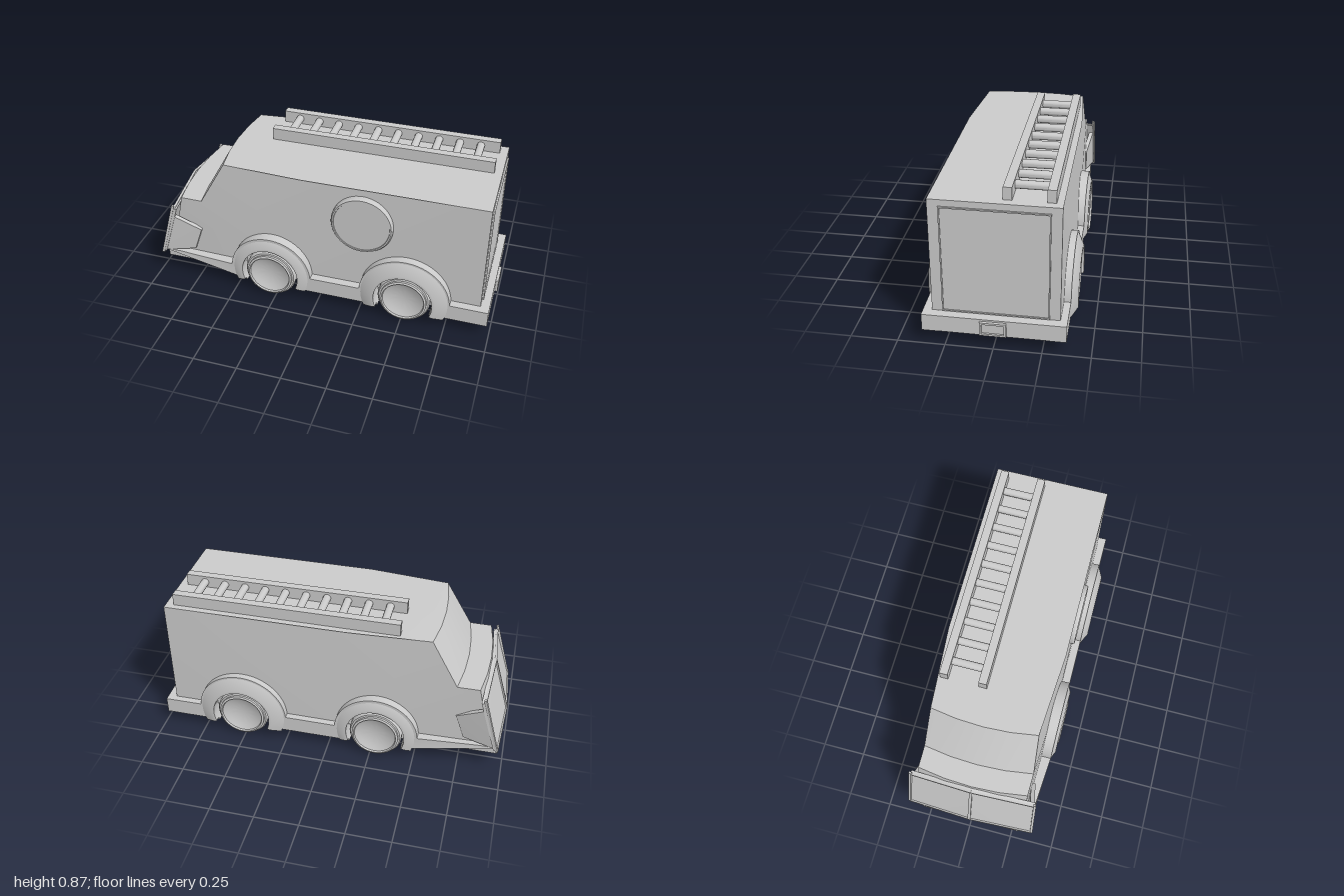
import * as THREE from 'three';
import { toCreasedNormals } from 'three/addons/utils/BufferGeometryUtils.js';
import { ConvexGeometry } from 'three/addons/geometries/ConvexGeometry.js';

const material = new THREE.MeshStandardMaterial({ color: 0xcccccc, side: THREE.DoubleSide });
const V = (x, y, z) => new THREE.Vector3(x, y, z);
const { lerp, smoothstep } = THREE.MathUtils;

function add(parent, name, geometry, x = 0, y = 0, z = 0) {
  const mesh = new THREE.Mesh(toCreasedNormals(geometry, 0.5), material);
  mesh.name = name;
  mesh.position.set(x, y, z);
  parent.add(mesh);
  return mesh;
}

// box given by its min and max on each axis
function box(parent, name, [x0, x1], [y0, y1], [z0, z1]) {
  return add(parent, name, new THREE.BoxGeometry(x1 - x0, y1 - y0, z1 - z0),
    (x0 + x1) / 2, (y0 + y1) / 2, (z0 + z1) / 2);
}

// moves every vertex of a geometry by a rule
function bend(geometry, rule) {
  const p = geometry.attributes.position;
  const v = new THREE.Vector3();
  for (let i = 0; i < p.count; i++) {
    rule(v.fromBufferAttribute(p, i));
    p.setXYZ(i, v.x, v.y, v.z);
  }
  return geometry;
}

// flat plate through corner points, given a thickness vector
const plate = (corners, thick) =>
  new ConvexGeometry([...corners, ...corners.map((c) => c.clone().add(thick))]);

// surface turned about the z axis, facing side s
function turned(profile, s, phi0 = 0, phi = Math.PI * 2, segments = 40) {
  const pts = profile.map(([r, z]) => new THREE.Vector2(r, z));
  return new THREE.LatheGeometry(pts, segments, phi0, phi).rotateX(s * Math.PI / 2);
}

const AXLE_Y = 0.15;
const axles = [
  { name: 'front', x: -0.28, arch: 0.24, flare: 0.225, lip: 0.39 },
  { name: 'rear', x: 0.51, arch: 0.26, flare: 0.25, lip: 0.405 },
];
const OPENING = 0.168;

// cab and cargo body: side profile extruded across, bowed and narrowed at the nose
function buildBody(parent) {
  const profile = [[0.935, 0.16], [0.935, 0.805], [-0.1, 0.803], [-0.56, 0.795],
    [-0.71, 0.53], [-0.835, 0.53], [-0.86, 0.42], [-0.92, 0.16], [-0.1, 0.16]];
  const shape = new THREE.Shape(profile.map(([x, y]) => new THREE.Vector2(x, y)));
  const geometry = new THREE.ExtrudeGeometry(shape, { depth: 2, steps: 4, bevelEnabled: false });
  geometry.translate(0, 0, -1);
  bend(geometry, (v) => {
    const t = v.z;
    const roofTaper = v.x < -0.5 && v.y > 0.7 ? 0.02 : 0;
    const half = lerp(0.33, 0.31, smoothstep(-v.x, 0.1, 0.85)) - roofTaper;
    v.z = t * half - 0.005;
    if (v.x < -0.5) v.x -= 0.03 * (1 - t * t);
  });
  geometry.computeVertexNormals();
  add(parent, 'body', geometry);
}

// side skirt with raised wheel arches and open wheel wells
function buildSkirt(parent, s) {
  const shape = new THREE.Shape();
  const bottom = 0.07, top = 0.165;
  const dip = Math.asin((AXLE_Y - bottom) / OPENING);
  shape.moveTo(-0.98, 0.09);
  for (const a of axles) shape.absarc(a.x, AXLE_Y, OPENING, Math.PI + dip, -dip, true);
  shape.lineTo(0.985, bottom);
  shape.lineTo(0.985, top);
  for (const a of [...axles].reverse()) {
    shape.absarc(a.x, AXLE_Y, a.arch, 0.06, Math.PI - 0.06, false);
  }
  shape.lineTo(-0.86, top);
  shape.lineTo(-0.97, top);
  const geometry = new THREE.ExtrudeGeometry(shape, { depth: 0.082, bevelEnabled: false, curveSegments: 28 });
  geometry.translate(0, 0, s > 0 ? 0.29 : -0.372);
  bend(geometry, (v) => {
    if (Math.abs(v.z) > 0.33 && v.x < -0.52) v.z -= s * 0.025 * Math.min(1, (-v.x - 0.52) / 0.34);
  });
  geometry.computeVertexNormals();
  add(parent, 'sideSkirt', geometry);
}

// sloped flare round the wheel opening
function buildFlare(parent, a, s) {
  const arc = Math.PI + 0.8;
  const profile = [[a.flare, 0.365], [a.flare, 0.372], [0.185, a.lip], [OPENING, a.lip], [OPENING, 0.3]];
  add(parent, a.name + 'Flare', turned(profile.map(([r, z]) => [r, z]), s,
    (s > 0 ? Math.PI : 0) - arc / 2, arc, 32), a.x, AXLE_Y, 0);
}

function buildWheel(parent, a, s) {
  const profile = [[0, 0.295], [0.13, 0.295], [0.15, 0.308], [0.15, 0.365], [0.143, 0.376],
    [0.133, 0.378], [0.133, 0.39], [0.122, 0.395], [0.118, 0.385], [0.09, 0.372], [0.05, 0.362], [0, 0.358]];
  add(parent, a.name + 'Wheel', turned(profile, s), a.x, AXLE_Y, 0);
}

// two-panel nose guard with a spine, edge bars and swept side flaps
function buildNoseGuard(parent) {
  const guard = new THREE.Group();
  guard.name = 'noseGuard';
  parent.add(guard);
  const thick = V(0.02, 0.006, 0);
  const bar = (name, a, b, r) => {
    const d = b.clone().sub(a);
    const m = add(guard, name, new THREE.BoxGeometry(r, d.length(), r));
    m.position.copy(a).add(b).multiplyScalar(0.5);
    m.quaternion.setFromUnitVectors(V(0, 1, 0), d.normalize());
  };
  const midTop = V(-0.89, 0.51, 0), midLow = V(-0.985, 0.18, 0);
  bar('guardSpine', midTop, midLow, 0.016);
  for (const s of [1, -1]) {
    const top = V(-0.87, 0.47, s * 0.355), low = V(-0.965, 0.155, s * 0.365);
    add(guard, 'guardPanel', plate([midTop, top, low, midLow], thick));
    bar('guardTopBar', midTop, top, 0.014);
    bar('guardLowBar', midLow, low, 0.014);
    bar('guardEdgeBar', V(top.x, top.y + 0.03, top.z), low, 0.014);
    const flap = [V(-0.87, 0.42, s * 0.355), V(-0.72, 0.335, s * 0.325),
      V(-0.77, 0.19, s * 0.325), V(-0.955, 0.165, s * 0.36)];
    add(guard, 'guardFlap', plate(flap, V(0, 0, -s * 0.025)));
  }
}

function buildLadder(parent) {
  const ladder = new THREE.Group();
  ladder.name = 'roofLadder';
  parent.add(ladder);
  for (const z of [-0.085, -0.3]) box(ladder, 'ladderRail', [-0.385, 0.89], [0.803, 0.873], [z, z + 0.045]);
  for (let i = 0; i < 10; i++) {
    const rung = new THREE.CylinderGeometry(0.022, 0.022, 0.18, 14).rotateX(Math.PI / 2);
    add(ladder, 'ladderRung', rung, -0.29 + i * 0.119, 0.838, -0.17);
  }
}

// rectangular rim facing the rear
function rearFrame(parent, name, x, depth, y0, y1, z0, z1, w) {
  box(parent, name, [x, x + depth], [y0, y0 + w], [z0, z1]);
  box(parent, name, [x, x + depth], [y1 - w, y1], [z0, z1]);
  box(parent, name, [x, x + depth], [y0 + w, y1 - w], [z0, z0 + w]);
  box(parent, name, [x, x + depth], [y0 + w, y1 - w], [z1 - w, z1]);
}

export function createModel() {
  const model = new THREE.Group();
  model.name = 'ladderTruck';
  buildBody(model);
  box(model, 'floor', [-0.97, 0.985], [0.071, 0.165], [-0.29, 0.29]);
  for (const s of [1, -1]) {
    buildSkirt(model, s);
    for (const a of axles) {
      buildFlare(model, a, s);
      buildWheel(model, a, s);
    }
  }
  buildNoseGuard(model);
  buildLadder(model);

  // rear door and bumper plate
  box(model, 'rearDoor', [0.93, 0.938], [0.175, 0.765], [-0.275, 0.265]);
  rearFrame(model, 'rearDoorFrame', 0.93, 0.014, 0.17, 0.77, -0.281, 0.27, 0.007);
  box(model, 'rearPlate', [0.98, 0.99], [0.085, 0.15], [-0.06, 0.06]);
  rearFrame(model, 'rearPlateFrame', 0.98, 0.02, 0.078, 0.155, -0.067, 0.07, 0.011);

  // round panel on one side only
  const disc = [[0.175, 0.31], [0.175, 0.335], [0.168, 0.346], [0.16, 0.346], [0.158, 0.341], [0, 0.341]];
  add(model, 'roundSidePanel', turned(disc, 1, 0, Math.PI * 2, 48), 0.25, 0.58, 0);
  return model;
}
